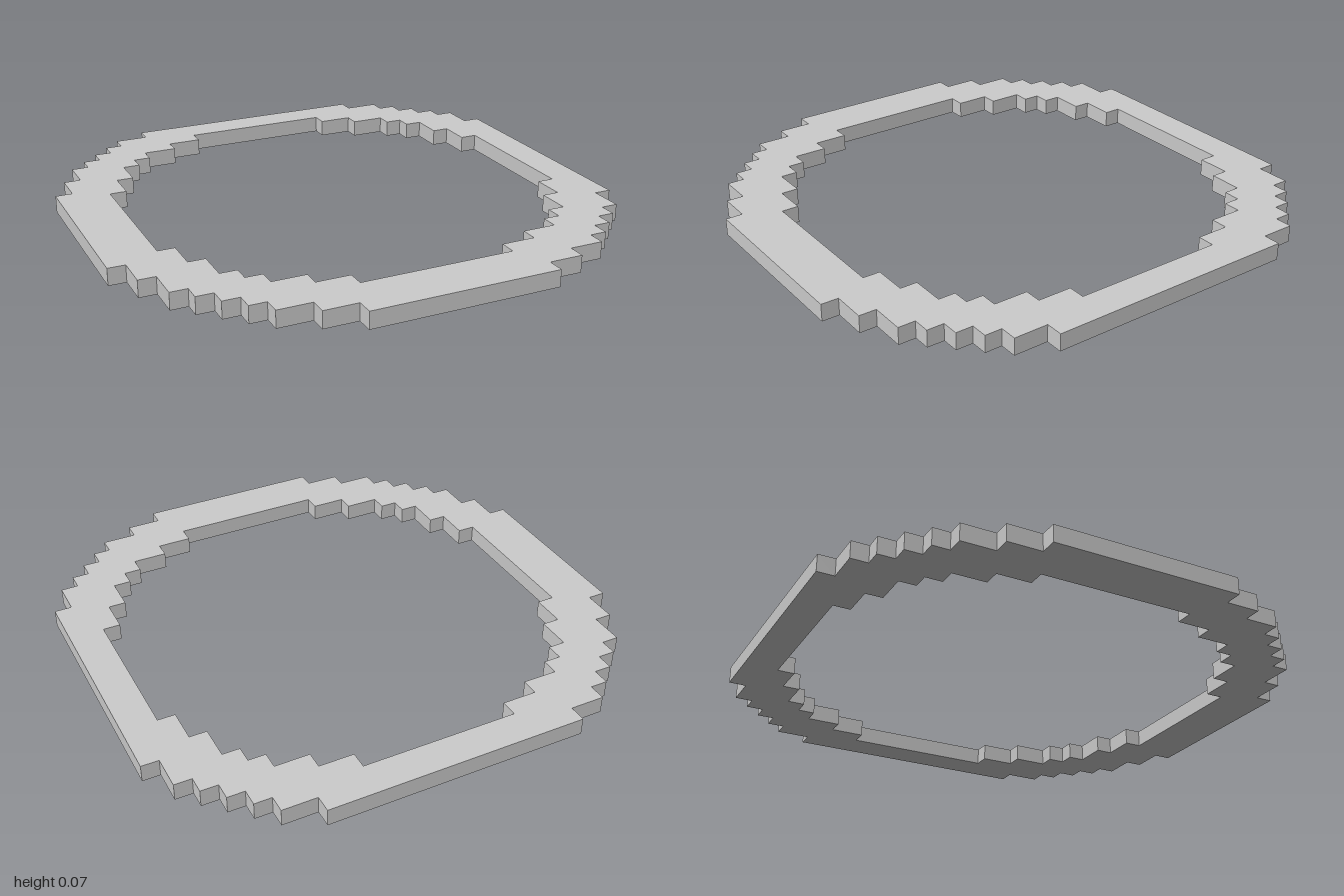
import * as THREE from 'three';

const CELL = 1 / 15;

// Traces a closed stepped outline: from (x, z), moves alternate between a new x and a new z
function stepped(target, x, z, moves) {
  target.moveTo(x * CELL, z * CELL);
  moves.forEach((value, i) => {
    if (i % 2 === 0) x = value;
    else z = value;
    target.lineTo(x * CELL, z * CELL);
  });
  target.closePath();
  return target;
}

export function createModel() {
  const group = new THREE.Group();
  group.name = 'blockRing';

  // Outer edge, corner by corner in grid cells
  const outline = stepped(new THREE.Shape(), -7, -15, [
    8, -14, 10, -13, 11, -12, 12, -11, 13, -10, 14, -8, 15, 7,
    14, 9, 13, 10, 12, 11, 11, 12, 10, 13, 8, 14, 6, 15,
    -5, 14, -7, 13, -9, 12, -10, 11, -11, 10, -12, 9, -13, 7, -14, 5,
    -15, -6, -14, -8, -13, -10, -12, -11, -11, -12, -10, -13, -9, -14, -7,
  ]);

  // Inner opening
  outline.holes.push(stepped(new THREE.Path(), -4, -13, [
    5, -12, 7, -11, 9, -10, 10, -9, 11, -7, 12, -5, 13, 4,
    12, 6, 11, 8, 10, 9, 9, 10, 7, 11, 5, 12,
    -4, 11, -6, 10, -8, 9, -9, 8, -10, 6, -11, 4,
    -12, -5, -11, -7, -10, -9, -9, -10, -8, -11, -6, -12, -4,
  ]));

  // One cell thick, laid flat on the ground
  const geometry = new THREE.ExtrudeGeometry(outline, { depth: CELL, bevelEnabled: false });
  geometry.rotateX(Math.PI / 2);
  geometry.translate(0, CELL, 0);

  const ring = new THREE.Mesh(
    geometry,
    new THREE.MeshStandardMaterial({ color: 0xcccccc, flatShading: true }),
  );
  ring.name = 'ring';
  group.add(ring);
  return group;
}
